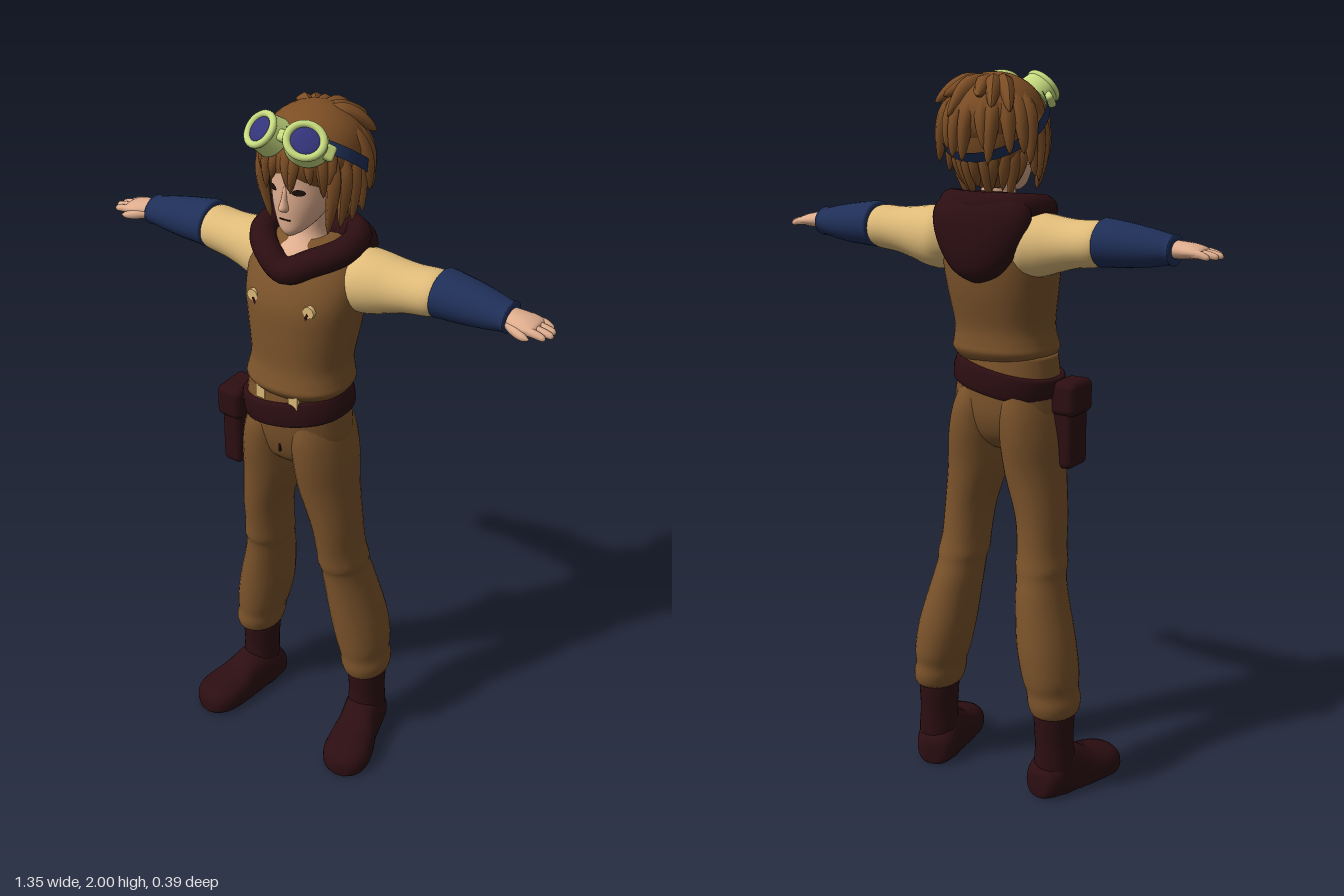
import * as THREE from 'three';
import { RoundedBoxGeometry } from 'three/addons/geometries/RoundedBoxGeometry.js';

const mat = (name, color, side = THREE.FrontSide) => {
  const m = new THREE.MeshStandardMaterial({ color, side });
  m.name = name;
  return m;
};

// Smooth closed body through elliptical sections [t, c1, c2, r1, r2] along an axis
function loft(sections, { axis = 'y', seg = 28, sub = 4, n = 2, floor = -Infinity } = {}) {
  const rings = [], pos = [], idx = [], last = sections.length - 1;
  for (let i = 0; i < last; i++) {
    const [a, b, c, d] = [-1, 0, 1, 2].map(k => sections[Math.min(last, Math.max(0, i + k))]);
    for (let s = 0; s < sub; s++) {
      const t = s / sub;
      rings.push(b.map((v, k) => v + 0.5 * t * (c[k] - a[k] + t * (2 * a[k] - 5 * v + 4 * c[k] - d[k]
        + t * (3 * (v - c[k]) + d[k] - a[k])))));
    }
  }
  rings.push(sections[last]);
  const put = (t, c1, c2, u, v) => {
    if (axis === 'y') pos.push(c1 + u, t, c2 + v);
    else if (axis === 'x') pos.push(t, c1 - u, c2 + v);
    else pos.push(c1 + u, Math.max(floor, c2 - v), t);
  };
  const pw = v => Math.sign(v) * Math.abs(v) ** (2 / n);
  for (const [t, c1, c2, r1, r2] of rings)
    for (let j = 0; j < seg; j++) {
      const q = j / seg * Math.PI * 2;
      put(t, c1, c2, r1 * pw(Math.cos(q)), r2 * pw(Math.sin(q)));
    }
  const top = rings.length - 1, c0 = rings.length * seg;
  put(...rings[0].slice(0, 3), 0, 0);
  put(...rings[top].slice(0, 3), 0, 0);
  for (let j = 0; j < seg; j++) {
    const k = (j + 1) % seg;
    for (let i = 0; i < top; i++) {
      const a = i * seg + j, b = a + seg, c = i * seg + k, d = c + seg;
      idx.push(a, b, c, b, d, c);
    }
    idx.push(c0, j, k, c0 + 1, top * seg + k, top * seg + j);
  }
  const g = new THREE.BufferGeometry();
  g.setAttribute('position', new THREE.Float32BufferAttribute(pos, 3));
  g.setIndex(idx);
  g.computeVertexNormals();
  return g;
}

// Pointed lock of hair along a bent path
function lock(points, w) {
  const curve = new THREE.CatmullRomCurve3(points.map(p => new THREE.Vector3(...p)));
  const N = 10, R = 7, g = new THREE.TubeGeometry(curve, N, w, R), p = g.attributes.position, v = new THREE.Vector3();
  for (let i = 0; i <= N; i++) {
    const c = curve.getPointAt(i / N), k = Math.max(0.03, Math.sqrt(1 - i / N) * Math.min(1, 0.5 + i / 5));
    for (let j = 0; j <= R; j++) {
      const o = i * (R + 1) + j;
      v.fromBufferAttribute(p, o).sub(c).multiplyScalar(k).add(c);
      p.setXYZ(o, v.x, v.y, v.z);
    }
  }
  g.computeVertexNormals();
  return g;
}

export function createModel() {
  const model = new THREE.Group();
  const M = {
    cloth: mat('brown cloth', 0x7b532b), sleeve: mat('tan cloth', 0xdfbb79), navy: mat('navy cloth', 0x1f2f58, THREE.DoubleSide),
    leather: mat('dark maroon leather', 0x2c0e12), skin: mat('skin', 0xdfad8e), hair: mat('brown hair', 0x7d4e25),
    rim: mat('pale green rim', 0xc6da7e), lens: mat('violet lens', 0x34347a), dark: mat('dark line', 0x1f130e),
  };
  const group = (name, x = 0, parent = model) => {
    const g = new THREE.Group();
    g.name = name; g.position.x = x; parent.add(g);
    return g;
  };
  const add = (parent, name, geo, m, p = [0, 0, 0], r = [0, 0, 0], s = [1, 1, 1]) => {
    const mesh = new THREE.Mesh(geo, m);
    mesh.name = name; mesh.position.set(...p); mesh.rotation.set(...r); mesh.scale.set(...s);
    parent.add(mesh);
    return mesh;
  };
  const ball = new THREE.SphereGeometry(1, 32, 22);
  const box = (x, y, z) => new THREE.BoxGeometry(x, y, z);

  // Tunic with a bloused hem
  const torso = group('torso', -0.02);
  add(torso, 'tunic', loft([[1.235, 0, .026, .132, .11], [1.26, 0, .027, .149, .128], [1.285, 0, .025, .145, .125],
    [1.33, 0, .02, .14, .12], [1.42, 0, .01, .153, .13], [1.5, 0, .003, .164, .132], [1.57, 0, -.01, .162, .115],
    [1.63, 0, -.022, .13, .085], [1.66, 0, -.025, .07, .06]], { n: 2.25, seg: 40 }), M.cloth);
  add(torso, 'neck', loft([[1.56, 0, .005, .07, .085], [1.62, 0, .002, .075, .085], [1.655, 0, -.01, .052, .058],
    [1.69, 0, -.015, .045, .048], [1.76, 0, -.015, .046, .05]]), M.skin);
  const rimPath = [[0, 1.592, .1], [.065, 1.622, .082], [.122, 1.645, .015], [.11, 1.656, -.07], [0, 1.658, -.115],
    [-.11, 1.656, -.07], [-.122, 1.645, .015], [-.065, 1.622, .082]].map(p => new THREE.Vector3(...p));
  add(torso, 'hoodCollar', new THREE.TubeGeometry(new THREE.CatmullRomCurve3(rimPath, true), 64, .036, 14, true), M.leather);
  add(torso, 'hood', loft([[1.455, 0, -.105, .025, .02], [1.485, 0, -.115, .075, .045], [1.55, 0, -.114, .122, .057],
    [1.62, 0, -.1, .148, .066], [1.665, 0, -.09, .135, .058], [1.69, 0, -.085, .09, .03]]), M.leather);
  for (const s of [-1, 1]) {
    const x = s * .087;
    add(torso, 'toggle', new THREE.CylinderGeometry(.017, .017, .012, 8), M.sleeve, [x, 1.507, .119], [Math.PI / 2, 0, 0]);
    add(torso, 'toggleCord', box(.007, .055, .007), M.leather, [x - s * .014, 1.477, .122], [0, 0, -s * .45]);
  }

  // Arms, built for the left side and mirrored
  for (const s of [1, -1]) {
    const arm = group(s > 0 ? 'leftArm' : 'rightArm');
    arm.scale.x = s;
    add(arm, 'sleeve', loft([[.09, 1.555, -.03, .06, .065], [.135, 1.555, -.035, .084, .086], [.18, 1.557, -.036, .083, .083],
      [.23, 1.562, -.038, .072, .074], [.28, 1.567, -.04, .063, .07], [.34, 1.572, -.043, .06, .068],
      [.365, 1.572, -.043, .048, .055]], { axis: 'x' }), M.sleeve);
    add(arm, 'armGuard', loft([[.352, 1.577, -.045, .05, .06], [.356, 1.577, -.045, .062, .072], [.375, 1.578, -.045, .062, .071],
      [.44, 1.575, -.043, .056, .063], [.5, 1.573, -.04, .047, .054], [.542, 1.572, -.037, .038, .047],
      [.553, 1.572, -.037, .04, .049], [.557, 1.572, -.037, .028, .035]], { axis: 'x' }), M.navy);
    add(arm, 'palm', loft([[.54, 1.574, -.036, .024, .03], [.575, 1.573, -.032, .022, .04], [.605, 1.572, -.031, .019, .044],
      [.628, 1.57, -.031, .013, .04], [.634, 1.569, -.031, .004, .025]], { axis: 'x', seg: 20 }), M.skin);
    [.656, .671, .675, .664].forEach((tip, i) => {
      const z = -.062 + i * .021, w = .0108;
      add(arm, 'finger', loft([[.6, 1.57, z, w, w], [.63, 1.569, z, w, w], [tip - .012, 1.565, z, .009, .009],
        [tip - .003, 1.563, z, .006, .006], [tip, 1.562, z, .001, .001]], { axis: 'x', seg: 10, sub: 2 }), M.skin);
    });
    add(arm, 'thumb', loft([[.555, 1.567, -.01, .012, .014], [.585, 1.564, .008, .013, .013], [.612, 1.56, .016, .01, .01],
      [.628, 1.558, .018, .002, .002]], { axis: 'x', seg: 10 }), M.skin);
  }

  // Trousers and boots
  const lower = group('lowerBody', -.03);
  add(lower, 'hips', loft([[.985, 0, .015, .03, .05], [1.02, 0, .018, .12, .09], [1.08, 0, .018, .15, .112], [1.15, 0, .022, .15, .118],
    [1.2, 0, .026, .144, .118], [1.25, 0, .028, .136, .113]], { n: 2.2, seg: 36 }), M.cloth);
  add(lower, 'fly', box(.006, .09, .006), M.dark, [.006, 1.1, .126], [-.06, 0, 0]);
  for (const s of [1, -1]) {
    const leg = group(s > 0 ? 'leftLeg' : 'rightLeg', 0, lower);
    leg.scale.x = s;
    add(leg, 'trouserLeg', loft([[.238, .2, -.043, .05, .06], [.25, .198, -.043, .064, .08], [.28, .195, -.043, .07, .089],
      [.315, .189, -.043, .069, .088], [.36, .182, -.044, .077, .094], [.45, .165, -.04, .079, .096], [.57, .142, -.026, .069, .09],
      [.63, .133, -.015, .065, .085], [.66, .13, -.008, .069, .087], [.71, .125, 0, .066, .084], [.8, .117, .01, .069, .088],
      [.92, .094, .015, .082, .1], [1.02, .084, .016, .083, .116], [1.1, .073, .018, .076, .119], [1.16, .062, .02, .062, .105]]), M.cloth);
    add(leg, 'bootShaft', loft([[.04, .2, -.045, .056, .06], [.1, .2, -.045, .056, .062], [.16, .198, -.046, .053, .06],
      [.22, .197, -.046, .056, .063], [.26, .197, -.046, .056, .063]]), M.leather);
    add(leg, 'bootFoot', loft([[-.075, 0, .035, .02, .03], [-.066, 0, .04, .045, .045], [-.03, 0, .05, .061, .062], [.02, 0, .052, .061, .085],
      [.07, 0, .04, .06, .085], [.12, 0, .034, .069, .062], [.18, 0, .03, .072, .052], [.222, 0, .026, .056, .042],
      [.242, 0, .02, .025, .022]], { axis: 'z', floor: 0, n: 2.4 }), M.leather, [.197, 0, -.042], [0, .24, 0]);
  }

  // Slanted belt, belt loops and hip pouch
  add(lower, 'belt', loft([[-.036, 0, 0, .145, .118], [-.031, 0, 0, .155, .128], [0, 0, 0, .159, .131], [.031, 0, 0, .155, .128],
    [.036, 0, 0, .145, .118]], { n: 2.2, seg: 40 }), M.leather, [0, 1.182, .026], [0, 0, .19]);
  for (const x of [-.045, .06]) add(lower, 'beltLoop', box(.028, .04, .012), M.sleeve, [x, 1.237, .137]);
  const pouch = group('pouch', -.205);
  add(pouch, 'pouchBody', new RoundedBoxGeometry(.062, .235, .1, 4, .018), M.leather, [0, 1.055, .06]);
  add(pouch, 'pouchFlap', new RoundedBoxGeometry(.08, .095, .115, 4, .02), M.leather, [-.003, 1.135, .06]);

  // Face
  const head = group('head', -.02);
  add(head, 'face', loft([[1.684, 0, .072, .012, .014], [1.7, 0, .056, .036, .04], [1.73, 0, .03, .06, .068], [1.77, 0, .01, .077, .09],
    [1.82, 0, -.01, .087, .108], [1.88, 0, -.02, .09, .115], [1.94, 0, -.02, .08, .095], [1.98, 0, -.02, .04, .05]], { seg: 36 }), M.skin);
  add(head, 'nose', loft([[1.752, 0, .094, .006, .006], [1.763, 0, .1, .013, .019], [1.785, 0, .096, .009, .014],
    [1.82, 0, .09, .006, .008]], { seg: 12 }), M.skin);
  add(head, 'mouth', box(.03, .003, .006), M.dark, [0, 1.732, .097]);
  for (const s of [-1, 1]) {
    add(head, 'eye', new THREE.CircleGeometry(1, 20), M.dark, [s * .039, 1.81, .093], [.12, s * .42, 0], [.018, .009, 1]);
    add(head, 'ear', ball, M.skin, [s * .086, 1.785, -.005], [0, 0, -s * .15], [.012, .028, .018]);
  }

  // Hair cap, nape and rows of locks placed by angle from the front
  const hair = group('hair', 0, head);
  add(hair, 'hairCap', ball, M.hair, [0, 1.882, -.035], [0, 0, 0], [.132, .113, .138]);
  add(hair, 'nape', loft([[1.7, 0, -.055, .035, .025], [1.74, 0, -.062, .075, .06], [1.8, 0, -.066, .108, .085],
    [1.87, 0, -.055, .12, .11]]), M.hair);
  const ringLock = (deg, y0, r0, y1, r1, y2, r2, w, twist = 0) => {
    const at = (y, r, d) => {
      const q = (deg + d) * Math.PI / 180;
      return [Math.sin(q) * r, y, Math.cos(q) * r - .03];
    };
    add(hair, 'hairLock', lock([at(y0, r0, 0), at(y1, r1, twist * .4), at(y2, r2, twist)], w), M.hair);
  };
  const wave = i => Math.sin(i * 2.4);
  for (let i = 0; i < 9; i++)
    ringLock(-56 + i * 14, 1.94, .09, 1.875, .128, 1.815 + .018 * wave(i), .131, .023, 7 * wave(i + 2));
  for (const s of [-1, 1])
    for (let i = 0; i < 4; i++)
      ringLock(s * (58 + i * 15), 1.9, .115, 1.81, .128, 1.69 + i * .014, .108 + i * .009, .025, -s * 5);
  for (let i = 0; i < 11; i++) {
    const d = 105 + i * 15;
    ringLock(d, 1.95, .08, 1.88, .133, 1.785 + .022 * wave(i), .148, .03, 6 * wave(i));
    ringLock(d, 1.82, .1, 1.76, .098, 1.69 + .014 * wave(i + 1), .075, .023, 5 * wave(i));
  }
  for (let i = 0; i < 6; i++)
    ringLock(130 + i * 20, 1.975, .04, 1.955, .105, 1.915 + .03 * wave(i), .158, .03, 8 * wave(i));

  // Goggles pushed up on the forehead, with strap
  add(head, 'goggleStrap', new THREE.CylinderGeometry(.147, .147, .03, 48, 1, true), M.navy, [0, 1.868, -.036], [-.62, 0, 0]);
  const goggles = group('goggles', 0, head);
  goggles.position.set(0, 1.945, .092);
  goggles.rotation.x = -.72;
  for (const s of [-1, 1]) {
    const cup = group('goggleCup', s * .06, goggles);
    cup.rotation.y = s * .36;
    cup.scale.set(1.12, 1, 1);
    add(cup, 'cupBody', new THREE.CylinderGeometry(.046, .052, .045, 32), M.rim, [0, 0, -.008], [Math.PI / 2, 0, 0]);
    add(cup, 'cupRim', new THREE.TorusGeometry(.041, .009, 12, 32), M.rim, [0, 0, .016]);
    add(cup, 'lens', ball, M.lens, [0, 0, .014], [0, 0, 0], [.035, .035, .009]);
    add(cup, 'strapMount', new RoundedBoxGeometry(.03, .04, .02, 3, .008), M.rim, [s * .05, 0, -.015], [0, s * .5, 0]);
  }
  add(goggles, 'noseBridge', new RoundedBoxGeometry(.05, .03, .028, 3, .01), M.rim, [0, 0, .006]);
  return model;
}
